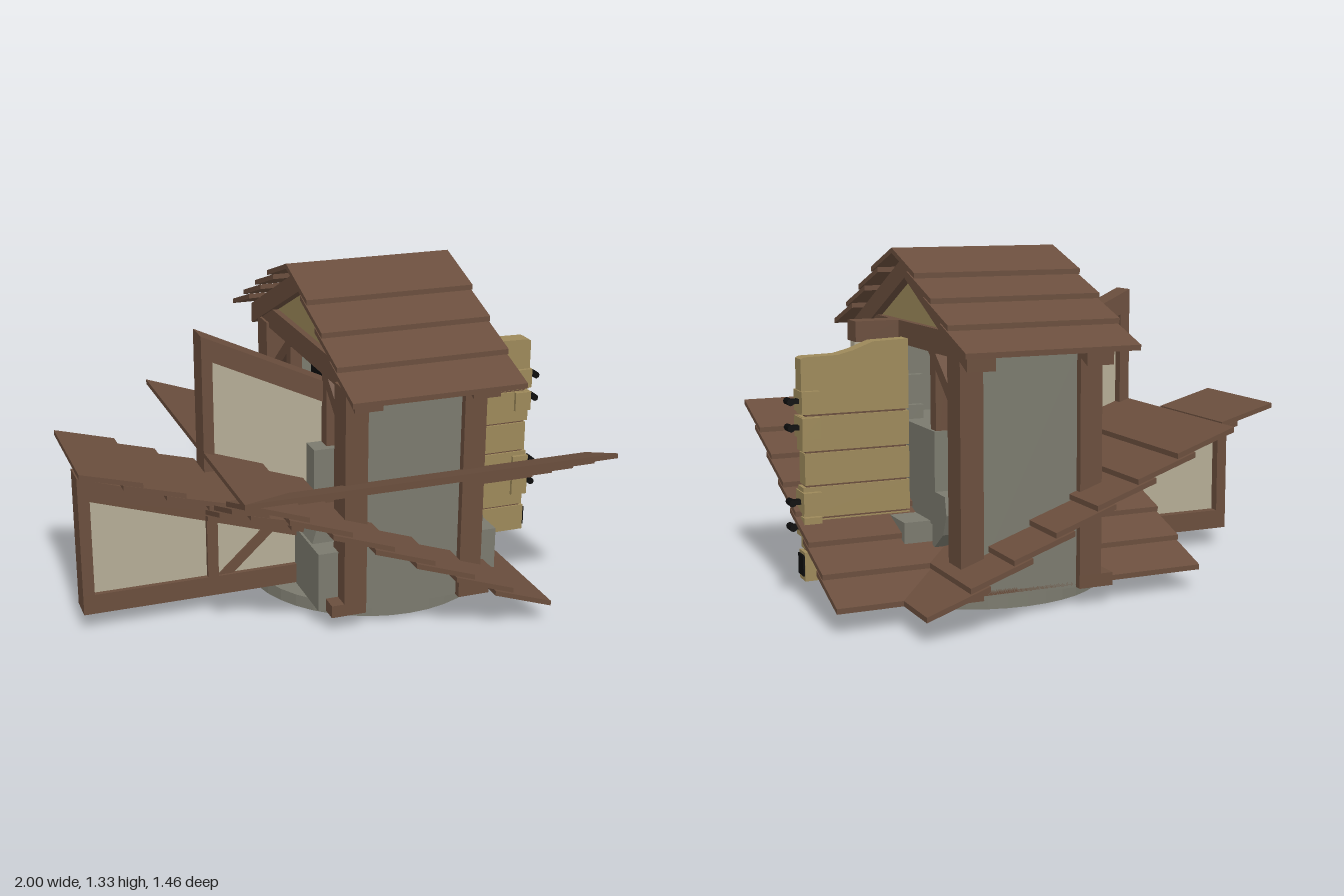
import * as THREE from 'three';

const mat = (name, color) => {
  const m = new THREE.MeshStandardMaterial({ color });
  m.name = name;
  return m;
};

export function createModel() {
  const wood = mat('brown wood', 0x6a4e3d);
  const plaster = mat('cream plaster', 0xb4ac95);
  const tan = mat('tan boards', 0x9d895a);
  const stone = mat('grey stone', 0x7b7a6e);
  const black = mat('black iron', 0x0c0c0c);

  const model = new THREE.Group();
  model.name = 'timberHouse';

  const add = (name, geo, material) => {
    const m = new THREE.Mesh(geo, material);
    m.name = name;
    model.add(m);
    return m;
  };
  // Box from its extents
  const box = (name, material, x0, x1, y0, y1, z0, z1) =>
    add(name, new THREE.BoxGeometry(x1 - x0, y1 - y0, z1 - z0)
      .translate((x0 + x1) / 2, (y0 + y1) / 2, (z0 + z1) / 2), material);
  const extrude = (pts, depth) => new THREE.ExtrudeGeometry(
    new THREE.Shape(pts.map(p => new THREE.Vector2(p[0], p[1]))), { depth, bevelEnabled: false });
  // Prism with an (x, y) outline, running along z
  const prismZ = (name, material, pts, z0, z1) =>
    add(name, extrude(pts, z1 - z0).translate(0, 0, z0), material);
  // Prism with a (z, y) outline, running along x
  const prismX = (name, material, pts, x0, x1) =>
    add(name, extrude(pts, x1 - x0).rotateY(-Math.PI / 2).translate(x1, 0, 0), material);
  // Overlapping roof boards stepping down a slope
  const boards = (name, prism, start, dir, top, count, step, fall, drop, lo, hi) => {
    const run = 0.24, t = 0.02;
    for (let i = 0; i < count; i++) {
      const a = start + dir * step * i, b = a + dir * run, y = top - fall * i;
      prism(name, wood, [[a, y], [b, y - drop], [b, y - drop - t], [a, y - t]], lo, hi);
    }
  };

  // Round stone base with a timber floor set into its underside
  const ring = new THREE.Shape().absarc(0, 0, 0.5, 0, Math.PI * 2);
  ring.holes.push(new THREE.Path().absarc(0, 0, 0.41, 0, Math.PI * 2, true));
  add('baseRing', new THREE.ExtrudeGeometry(ring, { depth: 0.05, bevelEnabled: false, curveSegments: 20 })
    .rotateX(-Math.PI / 2).translate(0.23, 0.02, 0), stone);
  add('floor', new THREE.CylinderGeometry(0.415, 0.415, 0.02, 12).translate(0.23, 0.06, 0), wood);
  box('floorStone', stone, 0.02, 0.44, 0.04, 0.06, -0.22, 0.22);

  // Three plank roofs, the lower ones passing through the house
  for (const d of [1, -1]) boards('topRoofBoard', prismX, 0, d, 1.335, 4, 0.1635, 0.082, 0.083, -0.11, 0.57);
  boards('frontSlopeBoard', prismX, 0.73, -1, 0.68, 7, 0.165, 0.083, 0.083, -0.51, 0.97);
  boards('sideSlopeBoard', prismZ, -0.51, 1, 0.68, 7, 0.165, 0.083, 0.083, -0.73, 0.73);
  boards('annexRoofBoard', prismZ, -1, 1, 0.675, 10, 0.1645, 0.0655, 0.065, -0.25, 0.25);

  // Front and back walls with corner posts and sills
  for (const s of [1, -1]) {
    const z = (a, b) => (s > 0 ? [a, b] : [-b, -a]);
    box('wall', stone, 0, 0.47, 0.07, 1.02, ...z(0.43, 0.5));
    for (const x of [-0.06, 0.42]) {
      box('cornerPost', wood, x, x + 0.09, 0.07, 0.98, ...z(0.41, 0.53));
      box('postFoot', wood, x - 0.05 * (x < 0), x + 0.09 + 0.04 * (x > 0), 0.07, 0.12, ...z(0.38, 0.53));
    }
  }

  // Gable frames at both ends
  for (const x of [-0.06, 0.41]) {
    const x1 = x + 0.11;
    box('tieBeam', wood, x + 0.01, x1 - 0.01, 0.96, 1.05, -0.53, 0.53);
    prismX('gablePanel', tan, [[-0.42, 1.03], [0.42, 1.03], [0, 1.23]], x + 0.035, x1 - 0.035);
    for (const s of [1, -1]) {
      prismX('rafter', wood, [[0, 1.305], [s * 0.62, 1.01], [s * 0.62, 0.925], [0, 1.22]], x, x1);
      prismX('gableBrace', wood, [[s * 0.16, 0.96], [s * 0.23, 0.96], [s * 0.41, 0.815], [s * 0.41, 0.75]],
        x + 0.03, x1 - 0.03);
      box('innerPost', wood, x + 0.03, x1 - 0.03, 0.5, 0.97, s * 0.215 - 0.027, s * 0.215 + 0.027);
    }
  }

  // Annex frame and panel on the low side
  const annexTop = x => 0.64 - 0.32 * (x + 1);
  box('annexSill', wood, -1, -0.1, 0.075, 0.155, 0.09, 0.2);
  box('annexEndPost', wood, -1, -0.955, 0.155, 0.6, 0.09, 0.2);
  box('annexMidPost', wood, -0.505, -0.462, 0.155, 0.44, 0.09, 0.2);
  prismZ('annexRafter', wood, [[-1, annexTop(-1)], [-0.05, annexTop(-0.05)],
    [-0.05, annexTop(-0.05) - 0.085], [-1, annexTop(-1) - 0.085]], 0.09, 0.2);
  prismZ('annexBrace', wood, [[-0.46, 0.155], [-0.4, 0.155], [-0.2, 0.34], [-0.26, 0.34]], 0.1, 0.19);
  prismZ('annexPanel', plaster, [[-0.97, 0.12], [-0.05, 0.12], [-0.05, 0.28], [-0.97, 0.58]], 0.13, 0.18);

  // Upper dormer wall
  box('dormerPost', wood, -0.51, -0.468, 0.6, 1.06, 0.09, 0.2);
  prismZ('dormerRafter', wood, [[-0.51, 1.14], [0, 0.9], [0, 0.815], [-0.51, 1.055]], 0.09, 0.2);
  prismZ('dormerPanel', plaster, [[-0.49, 0.6], [0, 0.45], [0, 0.85], [-0.49, 1.08]], 0.13, 0.18);

  // Wall stub beside the door
  box('stubPanel', plaster, 0.5, 0.68, 0.12, 0.98, 0.13, 0.18);
  box('stubBeam', wood, 0.5, 0.685, 0.97, 1.05, 0.1, 0.2);

  // Stone hearth and flue inside
  box('hearthBase', stone, -0.14, 0.605, 0.07, 0.31, -0.2, 0.46);
  box('hearthCore', stone, -0.09, 0.5, 0.3, 0.66, -0.25, 0.27);
  prismZ('hearthShoulder', stone, [[-0.13, 0.31], [0.6, 0.31], [0.57, 0.44], [-0.09, 0.44]], 0.2, 0.36);
  prismX('hearthSide', stone, [[-0.22, 0.2], [-0.33, 0.28], [-0.365, 0.36], [-0.35, 0.43], [-0.22, 0.43]], -0.05, 0.5);
  box('hearthLedge', stone, -0.16, 0.0, 0.6, 0.7, -0.17, 0.12);
  for (let i = 0; i < 5; i++)
    box('flueStone', stone, 0.42, 0.54 + 0.03 * (i % 2), 0.36 + i * 0.12, 0.475 + i * 0.12, 0.07, 0.22 + 0.04 * (i % 2));
  box('flueSideStone', stone, 0.5, 0.59, 0.8, 0.92, 0.17, 0.34);
  box('flueLowStone', stone, 0.47, 0.56, 0.57, 0.68, 0.17, 0.34);
  prismX('fireOpening', black, [[-0.19, 0.62], [0.19, 0.62], [0.19, 0.85], [0.1, 0.955], [-0.19, 0.955]], 0.06, 0.09);

  // Open door of horizontal boards with a sloping top
  const cuts = [0.08, 0.2, 0.325, 0.45, 0.58, 0.72];
  for (let i = 0; i < 5; i++)
    box('doorBoard', tan, 0.52, 0.945 - 0.008 * (i % 2), cuts[i], cuts[i + 1] - 0.008, -0.032, 0.04);
  prismZ('doorTopBoard', tan, [[0.52, 0.72], [0.945, 0.72], [0.945, 0.93], [0.93, 0.937], [0.8, 0.94],
    [0.74, 0.955], [0.66, 0.985], [0.52, 0.99]], -0.032, 0.04);
  box('doorCore', wood, 0.53, 0.93, 0.09, 0.74, -0.024, 0.032);

  // Door fittings along the outer edge
  for (const y of [0.77, 0.67, 0.385, 0.29]) {
    box('fittingPlate', tan, 0.88, 0.95, y - 0.04, y + 0.04, -0.055, 0.055);
    box('fittingNeck', black, 0.94, 0.975, y - 0.009, y + 0.009, -0.015, 0.015);
    add('fittingKnob', new THREE.CylinderGeometry(0.014, 0.014, 0.056, 8)
      .rotateX(Math.PI / 2).translate(0.985, y, 0), black);
  }
  box('doorEdgeStrip', black, 0.94, 0.952, 0.1, 0.18, -0.028, 0.036);

  return model;
}
